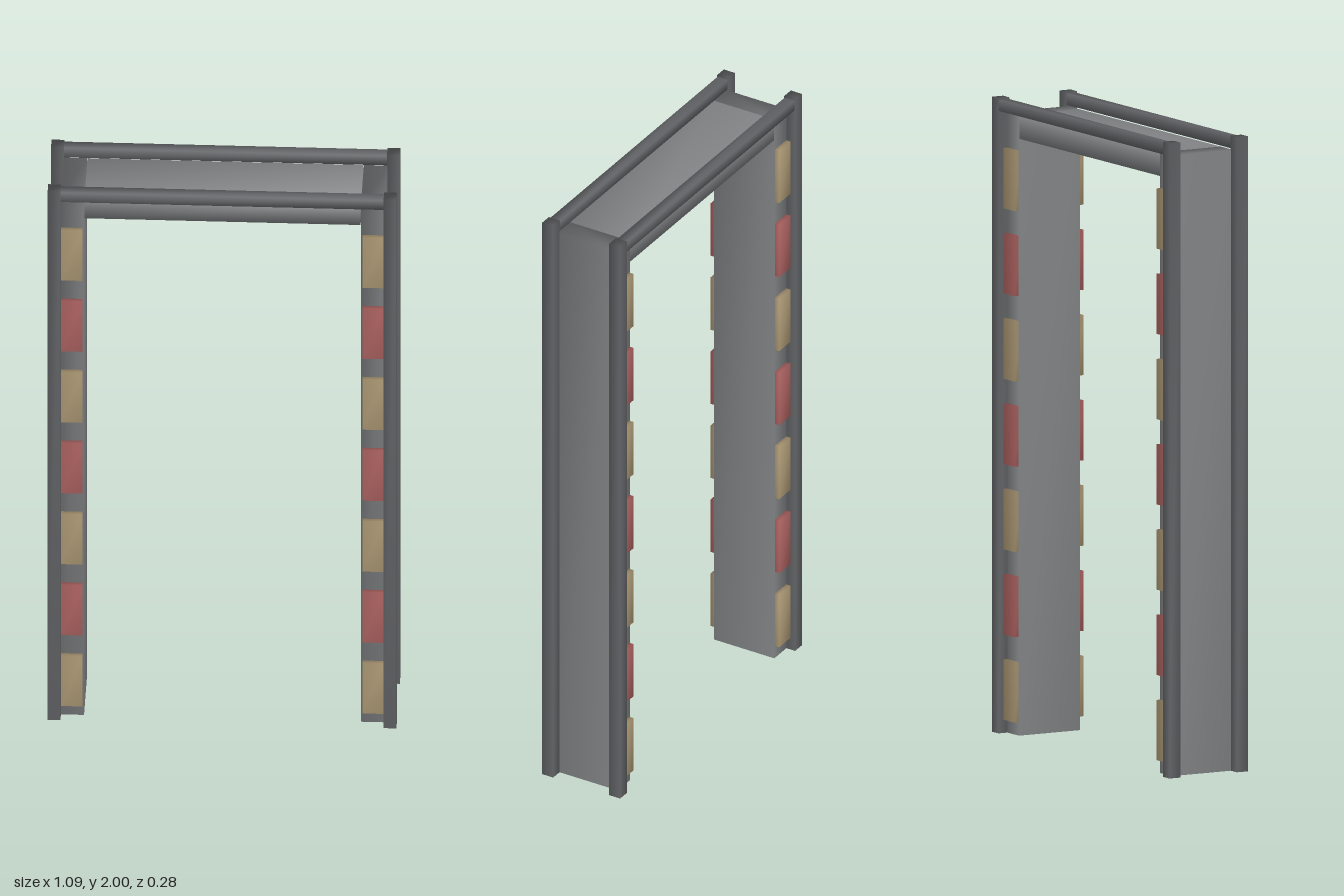
import * as THREE from 'three';
import { mergeVertices } from 'three/addons/utils/BufferGeometryUtils.js';

const material = (color) => new THREE.MeshStandardMaterial({ color });

// Box given by its limits, with normals shared across the edges for soft shading
function softBox(name, [x0, x1], [y0, y1], [z0, z1], mat) {
  let geo = new THREE.BoxGeometry(x1 - x0, y1 - y0, z1 - z0);
  geo.deleteAttribute('uv');
  geo.deleteAttribute('normal');
  geo = mergeVertices(geo);
  geo.computeVertexNormals();
  const mesh = new THREE.Mesh(geo, mat);
  mesh.name = name;
  mesh.position.set((x0 + x1) / 2, (y0 + y1) / 2, (z0 + z1) / 2);
  return mesh;
}

const around = (centre, size) => [centre - size / 2, centre + size / 2];

export function createModel() {
  const model = new THREE.Group();
  model.name = 'gateFrame';
  const panelMat = material(0x808284);
  const barMat = material(0x626366);
  const tanMat = material(0xac9874);
  const redMat = material(0xac6260);

  // Lintel panel between the jambs
  model.add(softBox('lintelPanel', [-0.43, 0.43], [1.88, 1.955], [-0.11, 0.11], panelMat));

  // Top rails, front and back
  for (const z of [-1, 1]) {
    model.add(softBox(z > 0 ? 'frontRail' : 'backRail',
      [-0.51, 0.51], [1.96, 1.995], around(z * 0.122, 0.036), barMat));
  }

  for (const x of [-1, 1]) {
    const side = x > 0 ? 'left' : 'right';

    // Jamb panel
    model.add(softBox(side + 'JambPanel', around(x * 0.468, 0.074), [0, 1.955], [-0.11, 0.11], panelMat));

    for (const z of [-1, 1]) {
      const face = z > 0 ? 'Front' : 'Back';

      // Corner post
      model.add(softBox(side + face + 'Post', around(x * 0.523, 0.04), [0, 2], around(z * 0.122, 0.04), barMat));

      // Alternating lamps up the jamb
      const lamps = new THREE.Group();
      lamps.name = side + face + 'Lamps';
      for (let i = 0; i < 7; i++) {
        lamps.add(softBox('lamp', around(x * 0.469, 0.066), around(0.137 + i * 0.2685, 0.19),
          around(z * 0.11, 0.03), i % 2 ? redMat : tanMat));
      }
      model.add(lamps);
    }
  }
  return model;
}
